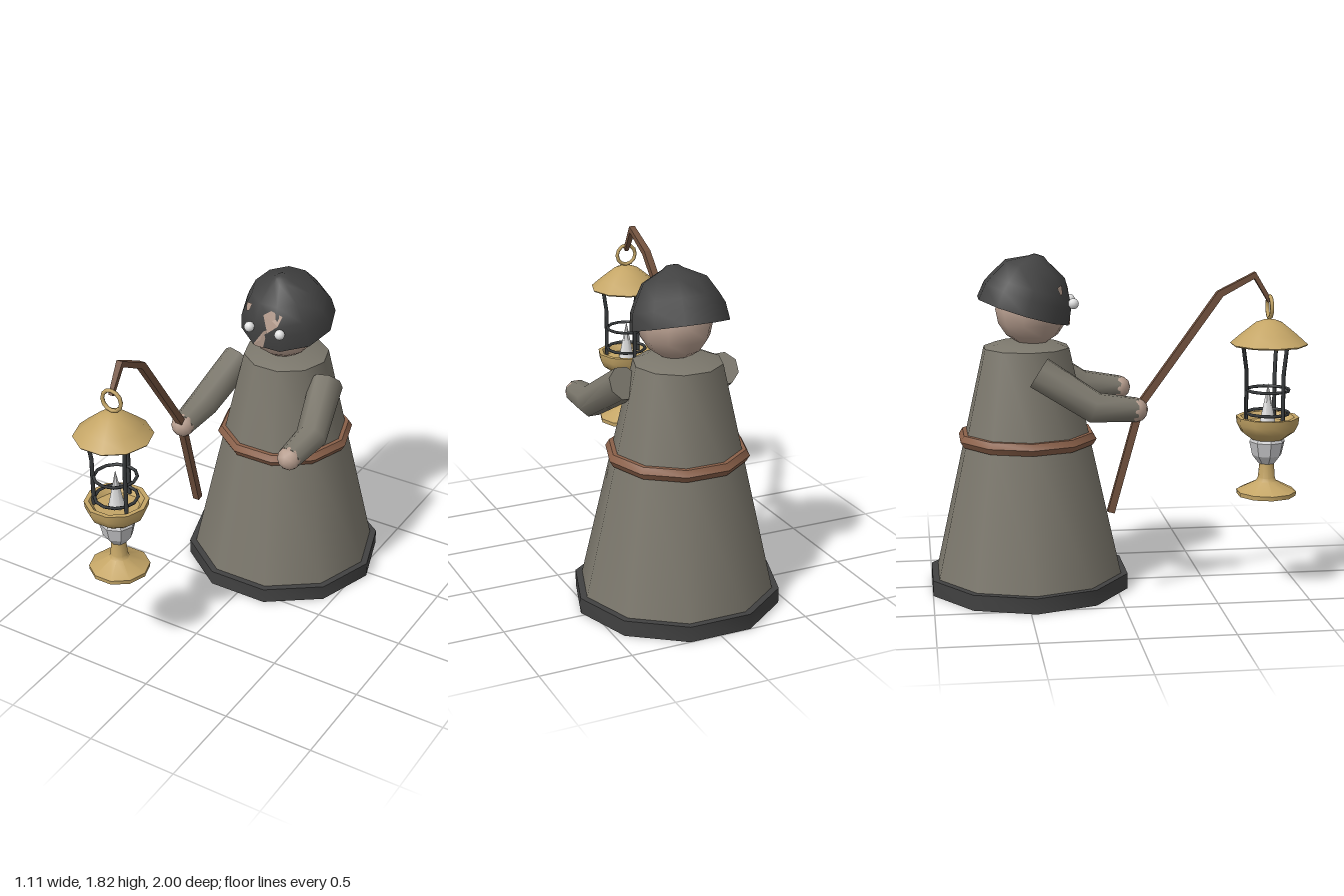
import * as THREE from 'three';
import { toCreasedNormals } from 'three/addons/utils/BufferGeometryUtils.js';

const mat = (name, color, side = THREE.FrontSide) => {
  const m = new THREE.MeshStandardMaterial({ color, side });
  m.name = name;
  return m;
};

export function createModel() {
  const cloth = mat('greyCloth', 0x7b776c, THREE.DoubleSide);
  const dark = mat('charcoal', 0x414141, THREE.DoubleSide);
  const iron = mat('iron', 0x383b3d);
  const leather = mat('brownLeather', 0x8a6049);
  const wood = mat('brownWood', 0x74533f);
  const gold = mat('brass', 0xc4a566, THREE.DoubleSide);
  const skin = mat('skin', 0xb89f90, THREE.DoubleSide);
  const white = mat('white', 0xe2e2e2);
  const glass = mat('paleGlass', 0xc9c9cb);

  const model = new THREE.Group();
  const V = (x, y, z) => new THREE.Vector3(x, y, z);

  const add = (parent, name, geometry, material, x = 0, y = 0, z = 0) => {
    const mesh = new THREE.Mesh(geometry, material);
    mesh.name = name;
    mesh.position.set(x, y, z);
    parent.add(mesh);
    return mesh;
  };

  // Ten-sided turned part with a vertex on the x axis
  const turned = (profile, crease = 0.8, sides = 10) => toCreasedNormals(
    new THREE.LatheGeometry(profile.map(([r, y]) => new THREE.Vector2(r, y)), sides, Math.PI / 2), crease);

  // Capped rod along a path, with one radius per point
  const rod = (path, radii, sides, crease = 0.8) => {
    const pos = [], index = [], n = path.length;
    path.forEach((p, i) => {
      const t = path[Math.min(i + 1, n - 1)].clone().sub(path[Math.max(i - 1, 0)]).normalize();
      const u = V(1, 0, 0).addScaledVector(t, -t.x).normalize();
      const v = t.clone().cross(u);
      for (let j = 0; j < sides; j++) {
        const a = (j + 0.5) / sides * Math.PI * 2;
        const q = p.clone().addScaledVector(u, Math.cos(a) * radii[i]).addScaledVector(v, Math.sin(a) * radii[i]);
        pos.push(q.x, q.y, q.z);
      }
    });
    pos.push(...path[0].toArray(), ...path[n - 1].toArray());
    const start = n * sides, last = (n - 1) * sides;
    for (let j = 0; j < sides; j++) {
      const k = (j + 1) % sides;
      for (let i = 0; i < n - 1; i++) {
        const a = i * sides + j, b = i * sides + k;
        index.push(a, b, a + sides, b, b + sides, a + sides);
      }
      index.push(start, k, j, start + 1, last + j, last + k);
    }
    const g = new THREE.BufferGeometry();
    g.setAttribute('position', new THREE.Float32BufferAttribute(pos, 3));
    g.setIndex(index);
    return toCreasedNormals(g, crease);
  };

  // Robe, open underneath, with hem and belt
  const body = new THREE.Group();
  body.name = 'body';
  body.position.z = -0.47;
  model.add(body);
  add(body, 'robe', turned([[0.54, 0], [0.52, 0.085], [0.35, 0.83], [0.237, 1.325], [0.17, 1.35], [0, 1.36]]), cloth);
  add(body, 'hem', turned([[0.557, 0], [0.557, 0.085], [0.515, 0.085]]), dark);
  add(body, 'belt', turned([[0.31, 0.8], [0.365, 0.8], [0.385, 0.833], [0.365, 0.866], [0.31, 0.866]], 0.7), leather);

  // Sleeves and hands
  for (const s of [-1, 1]) {
    const side = s > 0 ? 'left' : 'right';
    add(model, side + 'Sleeve', rod(
      [V(s * 0.28, 1.23, -0.425), V(s * 0.345, 1.05, -0.14), V(s * 0.335, 1.03, 0.085)],
      [0.092, 0.085, 0.066], 8, 0.9), cloth);
    add(model, side + 'Hand', new THREE.IcosahedronGeometry(0.066, 1), skin, s * 0.335, 1.03, 0.078);
  }

  // Head
  const head = add(model, 'head', new THREE.SphereGeometry(0.197, 10, 8), skin, 0, 1.53, -0.437);
  head.rotation.y = Math.PI / 10;

  // Bowl-shaped hood tipped forward
  const hood = add(model, 'hood', turned(
    [[0.262, 0], [0.25, 0.09], [0.226, 0.14], [0.17, 0.235], [0.055, 0.292], [0.03, 0.31], [0, 0.312]]),
  dark, 0, 1.52, -0.487);
  hood.rotation.x = 0.297;
  hood.updateMatrixWorld(true);

  // Skin patches laid on the front of the hood
  const ray = new THREE.Raycaster();
  const onHood = (x, y) => {
    ray.set(V(x, y, 1), V(0, 0, -1));
    const hit = ray.intersectObject(hood)[0];
    return [x, y, (hit ? hit.point.z : -0.25) + 0.006];
  };
  const patches = [
    [[-0.02, 1.643], [0.024, 1.676], [0.087, 1.652], [0.072, 1.6], [0.014, 1.55]],
    [[0.014, 1.57], [-0.01, 1.555], [-0.08, 1.455], [-0.065, 1.447], [-0.02, 1.447]],
    [[-0.164, 1.657], [-0.116, 1.67], [-0.13, 1.628], [-0.155, 1.613]],
  ];
  for (const p of patches) {
    const cx = p.reduce((a, q) => a + q[0], 0) / p.length;
    const cy = p.reduce((a, q) => a + q[1], 0) / p.length;
    const pos = [];
    p.forEach((q, i) => {
      const r = p[(i + 1) % p.length];
      pos.push(...onHood(cx, cy), ...onHood(...r), ...onHood(...q));
    });
    const g = new THREE.BufferGeometry();
    g.setAttribute('position', new THREE.Float32BufferAttribute(pos, 3));
    // Wind every triangle to face the front
    for (let i = 0; i < pos.length; i += 9) {
      const area = (pos[i + 3] - pos[i]) * (pos[i + 7] - pos[i + 1]) - (pos[i + 6] - pos[i]) * (pos[i + 4] - pos[i + 1]);
      if (area < 0) {
        const b = pos.slice(i + 3, i + 6), c = pos.slice(i + 6, i + 9);
        g.attributes.position.array.set([...c, ...b], i + 3);
      }
    }
    g.computeVertexNormals();
    add(model, 'facePatch', g, skin);
  }

  // Eyes
  for (const s of [-1, 1]) add(model, 'eye', new THREE.SphereGeometry(0.029, 10, 8), white, s * 0.094, 1.565, -0.223);

  // Crooked staff
  add(model, 'staff', rod(
    [V(-0.335, 0.48, -0.055), V(-0.33, 1.06, 0.105), V(-0.285, 1.63, 0.53), V(-0.28, 1.725, 0.715), V(-0.28, 1.585, 0.8)],
    [0.027, 0.027, 0.027, 0.025, 0.016], 4, 0.4), wood);

  // Lantern
  const lantern = new THREE.Group();
  lantern.name = 'lantern';
  lantern.position.set(-0.28, 0, 0.8);
  model.add(lantern);
  add(lantern, 'hangingRing', new THREE.TorusGeometry(0.057, 0.011, 6, 12), gold, 0, 1.555, 0);
  add(lantern, 'roof', turned(
    [[0, 1.352], [0.2, 1.352], [0.207, 1.36], [0.15, 1.41], [0.07, 1.474], [0.03, 1.488], [0, 1.492]], 0.7), gold);
  add(lantern, 'bowl', turned(
    [[0, 0.845], [0.09, 0.845], [0.145, 0.885], [0.165, 0.925], [0.17, 0.965], [0.145, 0.965], [0.12, 0.93], [0, 0.925]], 0.7), gold);
  add(lantern, 'glassBulb', turned(
    [[0, 0.71], [0.045, 0.71], [0.08, 0.755], [0.097, 0.83], [0.08, 0.86]], 0.3, 8), glass);
  add(lantern, 'foot', turned(
    [[0, 0.535], [0.16, 0.535], [0.162, 0.558], [0.055, 0.612], [0.046, 0.63], [0.038, 0.72], [0, 0.72]], 0.65), gold);
  add(lantern, 'flame', new THREE.ConeGeometry(0.045, 0.22, 6), white, 0, 1.035, 0);

  // Three posts and two hoops of the cage
  for (let i = 0; i < 3; i++) {
    const a = Math.PI / 3 + i * Math.PI * 2 / 3;
    const at = (r, y) => V(Math.sin(a) * r, y, Math.cos(a) * r);
    add(lantern, 'cagePost', rod([at(0.118, 0.94), at(0.118, 1.21), at(0.14, 1.36)], [0.011, 0.011, 0.011], 6, 1.1), iron);
  }
  for (const y of [0.985, 1.11]) {
    const hoop = add(lantern, 'cageHoop', new THREE.TorusGeometry(0.113, 0.009, 5, 12), iron, 0, y, 0);
    hoop.rotation.x = Math.PI / 2;
  }

  return model;
}
